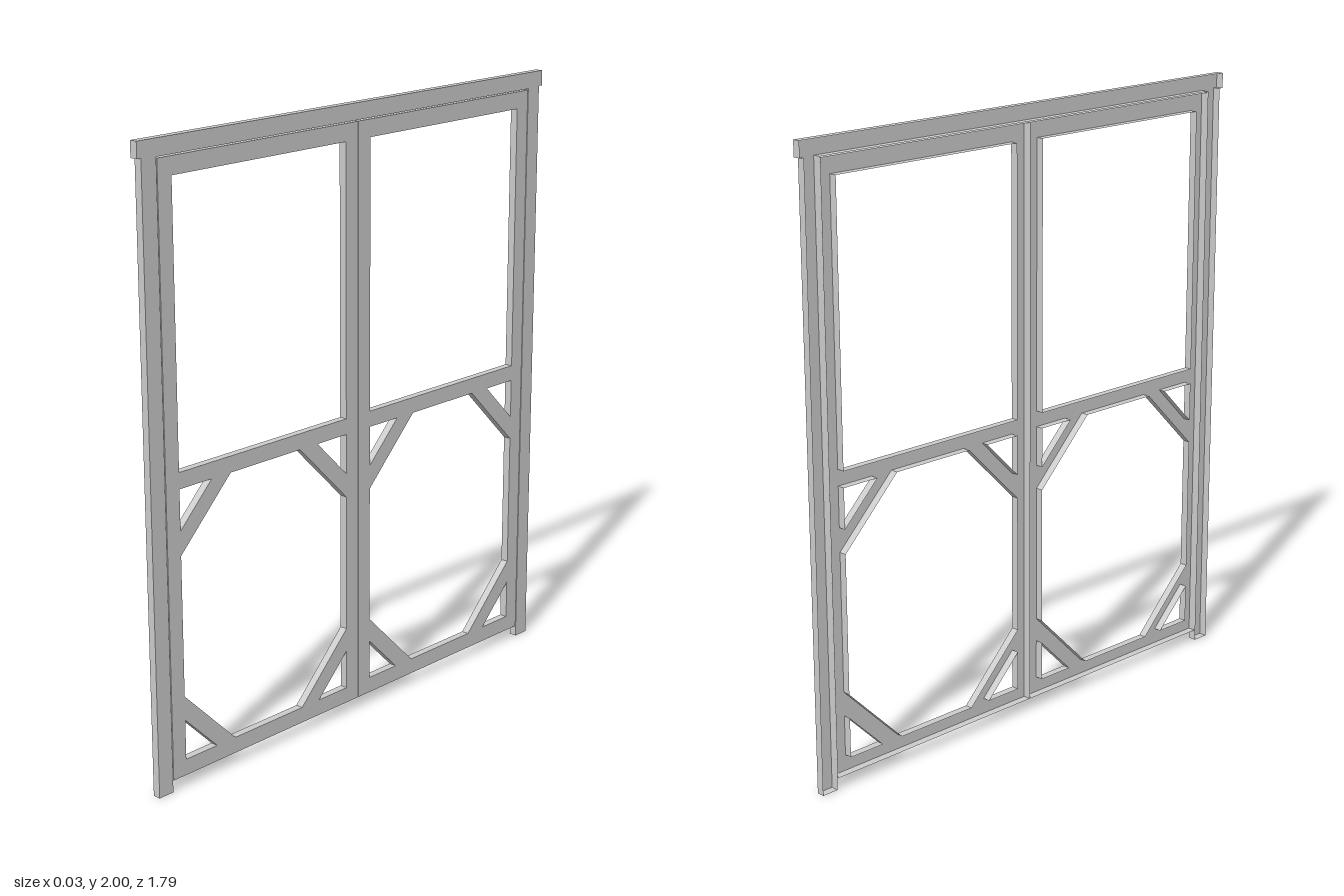
import * as THREE from 'three';

const DEPTH = 0.026;
const material = new THREE.MeshStandardMaterial({ color: 0xcccccc, side: THREE.DoubleSide, flatShading: true });

const points = (list) => list.map(([u, v]) => new THREE.Vector2(u, v));

// Pressed panel: front face (+x) plus edge walls, open at the back (-x)
function panel(name, outline, holes = []) {
  const shape = new THREE.Shape(points(outline));
  holes.forEach((h) => shape.holes.push(new THREE.Path(points(h))));
  const solid = new THREE.ExtrudeGeometry(shape, { depth: DEPTH, bevelEnabled: false });
  // The first half of the cap vertices is the back cap, which is left out
  const skip = solid.groups[0].count / 2;
  const geometry = new THREE.BufferGeometry();
  geometry.setAttribute('position', new THREE.BufferAttribute(solid.attributes.position.array.slice(skip * 3), 3));
  geometry.translate(0, 0, -DEPTH / 2);
  geometry.rotateY(Math.PI / 2);
  geometry.computeVertexNormals();
  const mesh = new THREE.Mesh(geometry, material);
  mesh.name = name;
  return mesh;
}

// One door leaf; side is +1 or -1
function doorLeaf(name, side) {
  const inner = 0.001, outer = 0.821, a = 0.055, b = 0.768;
  const low = 0.09, mid = 0.958, cut = 0.208, gusset = 0.13;
  const place = (list) => list.map(([u, v]) => [u * side, v]);
  const holes = [
    // upper window
    [[a, 1.01], [b, 1.01], [b, 1.887], [a, 1.887]],
    // lower eight-sided opening
    [[a + cut, low], [b - cut, low], [b, low + cut], [b, mid - cut],
      [b - cut, mid], [a + cut, mid], [a, mid - cut], [a, low + cut]],
  ];
  // small triangles behind the corner braces
  for (const [u, du] of [[a, 1], [b, -1]]) {
    for (const [v, dv] of [[low, 1], [mid, -1]]) {
      holes.push([[u, v], [u + du * gusset, v], [u, v + dv * gusset]]);
    }
  }
  const outline = [[inner, 0.038], [outer, 0.038], [outer, 1.943], [inner, 1.943]];
  return panel(name, place(outline), holes.map(place));
}

export function createModel() {
  const group = new THREE.Group();
  group.name = 'doubleScreenDoor';

  // Posts and overhanging header in one piece
  const half = [[0.824, 1.947], [0.824, 0], [0.88, 0], [0.88, 1.95], [0.895, 1.95], [0.895, 2]];
  const mirrored = half.map(([u, v]) => [-u, v]).reverse();
  group.add(panel('doorFrame', [...half, ...mirrored]));

  group.add(doorLeaf('frontDoorLeaf', -1), doorLeaf('rearDoorLeaf', 1));
  return group;
}
